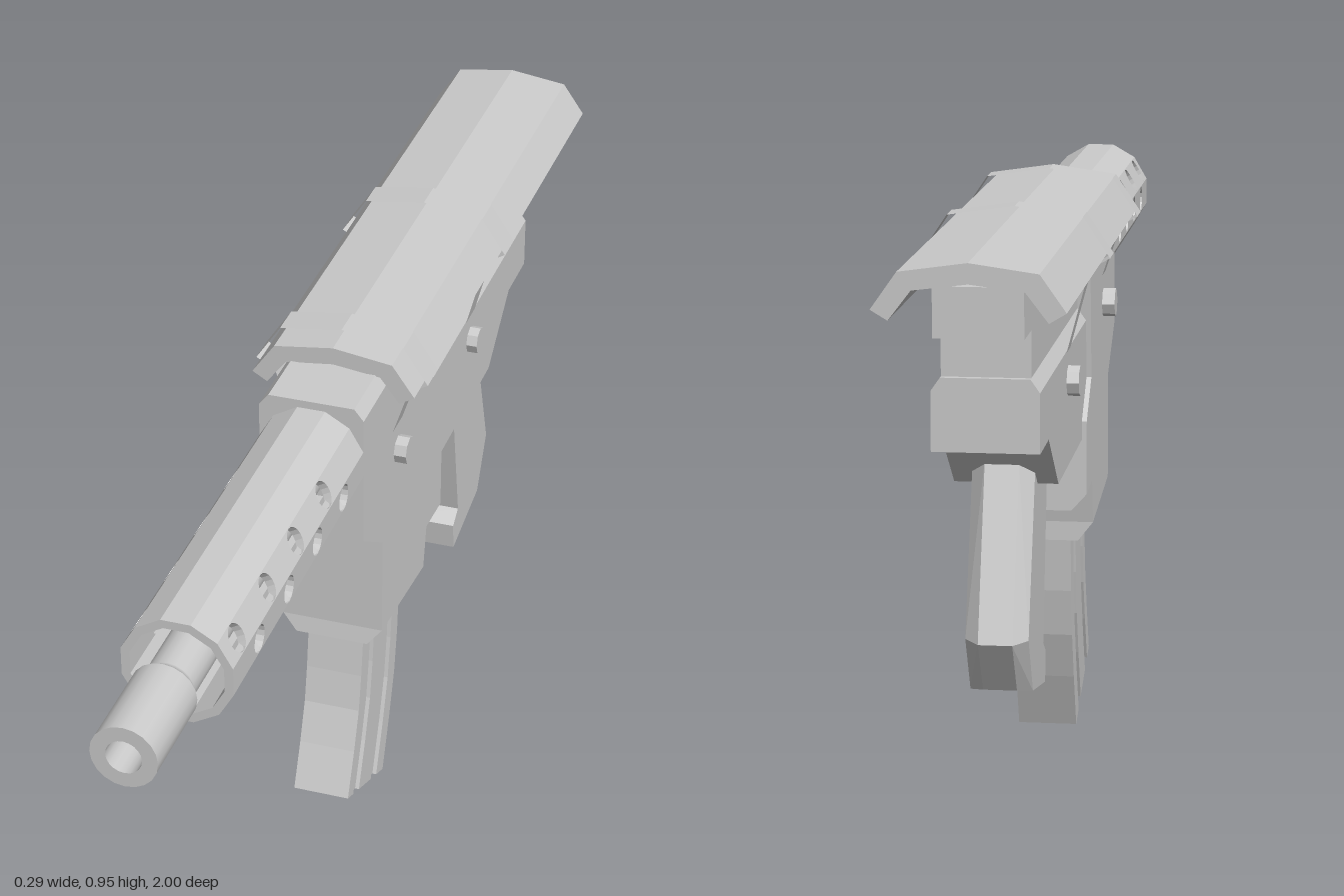
import * as THREE from 'three';
import { ConvexGeometry } from 'three/addons/geometries/ConvexGeometry.js';

const AXIS_Y = 0.807;

export function createModel() {
  const group = new THREE.Group();
  const mat = new THREE.MeshStandardMaterial({ color: 0xcccccc, flatShading: true });
  const smooth = new THREE.MeshStandardMaterial({ color: 0xcccccc });
  const thin = new THREE.MeshStandardMaterial({ color: 0xcccccc, flatShading: true, side: THREE.DoubleSide });

  const add = (name, geo, material = mat) => {
    const mesh = new THREE.Mesh(geo, material);
    mesh.name = name;
    group.add(mesh);
    return mesh;
  };
  const makeShape = (pts) => new THREE.Shape(pts.map(([a, b]) => new THREE.Vector2(a, b)));

  // Side profile of [z, y] points, extruded across x from x0 to x1
  const sideGeo = (pts, x0, x1, holes = []) => {
    const shape = makeShape(pts);
    holes.forEach((h) => shape.holes.push(h));
    const geo = new THREE.ExtrudeGeometry(shape, { depth: x1 - x0, bevelEnabled: false, curveSegments: 8 });
    return geo.rotateY(-Math.PI / 2).translate(x1, 0, 0);
  };
  // Cross-section of [x, y] points, extruded along z
  const crossGeo = (pts, z0, z1) =>
    new THREE.ExtrudeGeometry(makeShape(pts), { depth: z1 - z0, bevelEnabled: false }).translate(0, 0, z0);
  // Symmetric convex block from [halfWidth, y, z] corners
  const hullGeo = (pts) =>
    new ConvexGeometry(pts.flatMap(([x, y, z]) => [new THREE.Vector3(x, y, z), new THREE.Vector3(-x, y, z)]));

  // Front housing with magazine well
  add('frontHousing', sideGeo([
    [0.17, 0.888], [0.17, 0.66], [0.065, 0.59], [0.065, 0.41], [-0.175, 0.385], [-0.19, 0.46],
    [-0.275, 0.455], [-0.275, 0.575], [-0.205, 0.635], [-0.23, 0.888],
  ], -0.088, 0.088));
  add('housingTop', hullGeo([
    [0.088, 0.888, 0.17], [0.088, 0.888, -0.23], [0.072, 0.908, 0.17], [0.072, 0.908, -0.23],
  ]));
  // Bevelled lower lips of the housing
  add('magazineWellLip', hullGeo([
    [0.088, 0.41, 0.065], [0.088, 0.385, -0.175], [0.063, 0.38, 0.07], [0.063, 0.353, -0.175],
  ]));
  add('catchLip', hullGeo([
    [0.088, 0.46, -0.19], [0.088, 0.455, -0.275], [0.063, 0.435, -0.19], [0.063, 0.427, -0.275],
  ]));

  // Rear receiver: wide lower body, bevelled step, narrow upper body
  add('rearReceiver', sideGeo([
    [-0.2, 0.73], [-0.2, 0.545], [-0.6, 0.545], [-0.725, 0.64], [-0.83, 0.64], [-0.83, 0.73],
  ], -0.08, 0.08));
  add('receiverStep', crossGeo([[-0.08, 0.73], [0.08, 0.73], [0.066, 0.75], [-0.066, 0.75]], -0.83, -0.2));
  const upper = [[-0.21, 0.895], [-0.21, 0.75], [-0.82, 0.75], [-0.82, 0.82], [-0.9, 0.82], [-0.9, 0.895]];
  add('upperReceiverCore', sideGeo(upper, -0.05, 0.05));
  const slot = makeShape([[-0.45, 0.775], [-0.7, 0.775], [-0.7, 0.815], [-0.45, 0.815]]);
  add('slottedPlateLeft', sideGeo(upper, 0.05, 0.066, [slot]));
  add('slottedPlateRight', sideGeo(upper, -0.066, -0.05, [slot]));

  // Twelve-sided shroud; the side panels carry two staggered rows of holes
  const apothem = 0.0875;
  const half = apothem * Math.tan(Math.PI / 12);
  const rows = { 0: [0.67, 0.535, 0.4, 0.27], 1: [0.735, 0.6, 0.47, 0.335] };
  rows[6] = rows[0];
  rows[5] = rows[1];
  for (let i = 0; i < 12; i++) {
    const holes = (rows[i] || []).map((z) => new THREE.Path().absarc(z, 0, 0.0225, 0, Math.PI * 2, true));
    const panel = sideGeo([[0.15, -half], [0.785, -half], [0.785, half], [0.15, half]],
      apothem - 0.014, apothem, holes);
    add('shroudPanel', panel.rotateZ(i * Math.PI / 6).translate(0, AXIS_Y, 0));
  }

  // Barrel and hollow muzzle, turned about z
  const barrel = [
    [0.04, 0.15], [0.04, 0.82], [0.04, 0.825], [0.052, 0.84], [0.052, 0.84], [0.052, 1],
    [0.052, 1], [0.028, 1], [0.028, 1], [0.028, 0.88], [0.028, 0.88], [0, 0.88],
  ].map(([r, z]) => new THREE.Vector2(r, z));
  add('barrel', new THREE.LatheGeometry(barrel, 20).rotateX(Math.PI / 2).translate(0, AXIS_Y, 0), smooth);

  // Curved magazine of ribs and grooves between a front and a rear curve
  const front = [[0.042, 0.42], [0.047, 0.37], [0.057, 0.3], [0.07, 0.235], [0.096, 0.165], [0.13, 0.088]];
  const rear = [[-0.162, 0.42], [-0.16, 0.36], [-0.15, 0.26], [-0.135, 0.18], [-0.108, 0.1], [-0.07, 0.005]];
  const between = (t) => front.map(([z, y], i) => [z + (rear[i][0] - z) * t, y + (rear[i][1] - y) * t]);
  [[0, 0.15, 0.049], [0.15, 0.31, 0.042], [0.31, 0.65, 0.049], [0.65, 0.81, 0.042], [0.81, 1, 0.049]]
    .forEach(([t0, t1, w]) => {
      const pts = [...between(t0), ...between(t1).reverse()];
      add(w > 0.045 ? 'magazineRib' : 'magazineGroove', sideGeo(pts, -w, w));
    });

  // Grip with a chamfered back, and trigger
  add('grip', sideGeo([
    [-0.475, 0.56], [-0.53, 0.275], [-0.5, 0.255], [-0.505, 0.205], [-0.66, 0.235], [-0.713, 0.328], [-0.62, 0.6],
  ], -0.048, 0.048));
  add('gripBack', hullGeo([
    [0.048, 0.6, -0.62], [0.048, 0.328, -0.713], [0.048, 0.235, -0.66],
    [0.026, 0.59, -0.65], [0.026, 0.325, -0.735], [0.026, 0.24, -0.68],
  ]));
  add('trigger', sideGeo([[-0.435, 0.56], [-0.435, 0.45], [-0.475, 0.45], [-0.5, 0.56]], -0.025, 0.025));

  // Folded top cover
  const mirror = (pts) => [...pts, ...pts.slice(0, -1).reverse().map(([x, y]) => [-x, y])];
  const outer = mirror([[0.138, 0.877], [0.1, 0.931], [0, 0.945]]);
  const inner = mirror([[0.113, 0.862], [0.08, 0.905], [0, 0.915]]);
  add('topCover', crossGeo([...outer, ...inner.reverse()], -1, 0.06));

  // Thin straps over the cover, running down to side bolts
  const strap = (z0, z1, footX, footY) => {
    const path = mirror([[footX, footY], [0.115, 0.858], [0.147, 0.876], [0.105, 0.939], [0, 0.954]]);
    const pos = [];
    for (let i = 0; i + 1 < path.length; i++) {
      const [a, b] = [path[i], path[i + 1]];
      pos.push(...a, z0, ...b, z0, ...b, z1, ...a, z0, ...b, z1, ...a, z1);
    }
    const geo = new THREE.BufferGeometry();
    geo.setAttribute('position', new THREE.Float32BufferAttribute(pos, 3));
    geo.computeVertexNormals();
    add('strap', geo, thin);
  };
  strap(-0.04, 0.015, 0.088, 0.775);
  strap(-0.495, -0.44, 0.08, 0.727);
  [[0.109, 0.727, -0.016], [0.099, 0.68, -0.47]].forEach(([x, y, z]) => {
    add('sideBolt', new THREE.CylinderGeometry(0.024, 0.024, 2 * x, 8).rotateZ(Math.PI / 2).translate(0, y, z));
  });

  return group;
}
